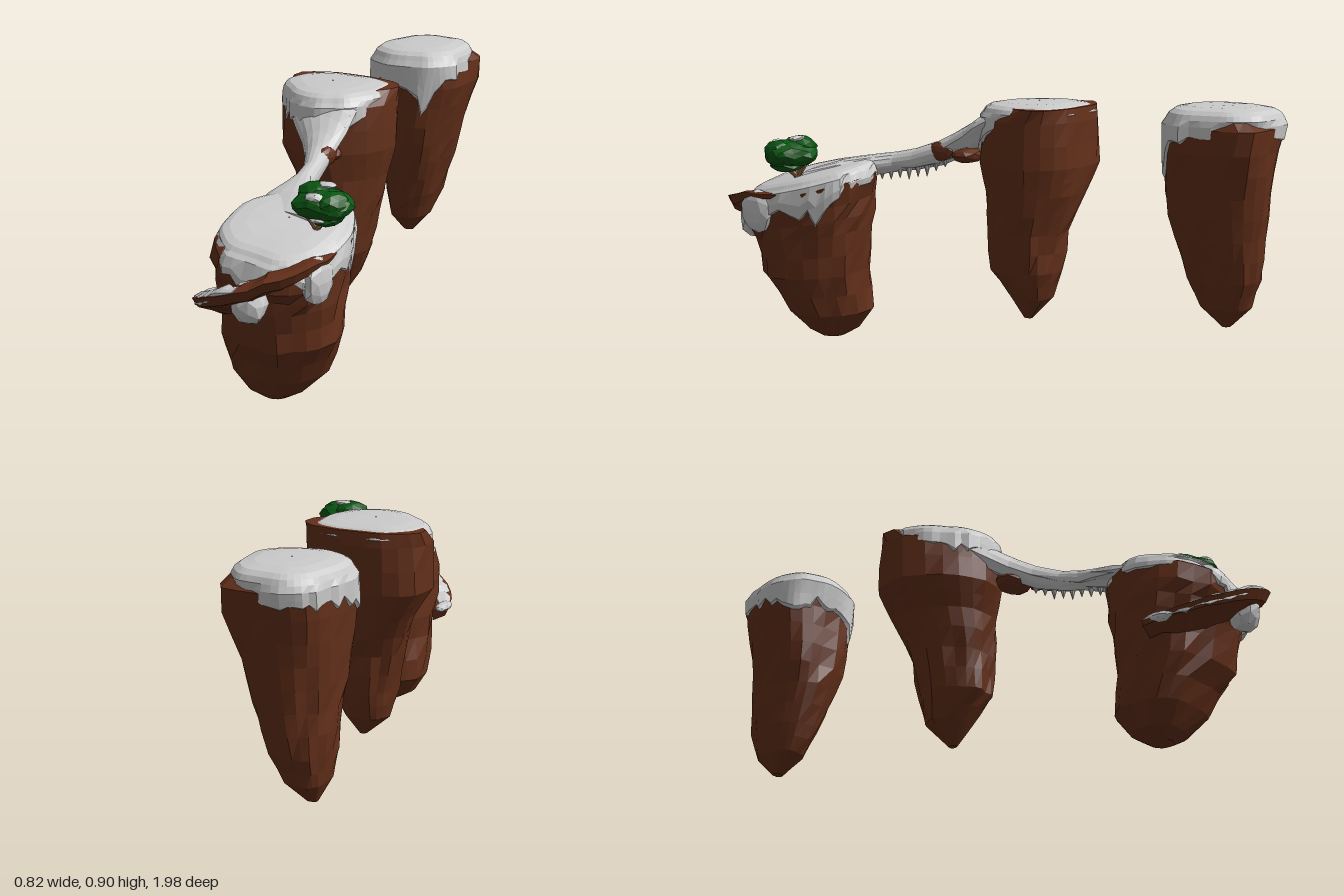
import * as THREE from 'three';

const mat = (color) => new THREE.MeshStandardMaterial({ color, flatShading: true, side: THREE.DoubleSide });
const ROCK = mat(0x64301a), SNOW = mat(0xcccccc), LEAF = mat(0x0a5612), BARK = mat(0xb07a56);
const TAU = Math.PI * 2;
const { lerp, clamp, degToRad } = THREE.MathUtils;
const hash = (n) => { const s = Math.sin(n * 127.1) * 43758.5453; return s - Math.floor(s); };
const bump = (a, y, s) =>
  (Math.sin(3 * a + 7 * y + s) + 0.7 * Math.sin(5 * a - 11 * y + 2 * s) + 0.5 * Math.sin(9 * a + 17 * y + 3 * s)) / 2.2;

// Skins rows of closed cross-sections
function loft(name, rows, material) {
  const n = rows[0].length, index = [];
  for (let i = 0; i < rows.length - 1; i++) {
    for (let j = 0; j < n; j++) {
      const p = i * n + j, q = i * n + (j + 1) % n;
      index.push(p, p + n, q, q, p + n, q + n);
    }
  }
  const g = new THREE.BufferGeometry();
  g.setAttribute('position', new THREE.Float32BufferAttribute(rows.flat(2), 3));
  g.setIndex(index);
  g.computeVertexNormals();
  const m = new THREE.Mesh(g, material);
  m.name = name;
  return m;
}
const collapse = (row) => {
  const c = [0, 1, 2].map((k) => row.reduce((s, p) => s + p[k], 0) / row.length);
  return row.map(() => c);
};
const capped = (rows) => [collapse(rows[0]), ...rows, collapse(rows.at(-1))];
const ring = (n, f) => Array.from({ length: n }, (_, j) => f(j / n * TAU, j));

// Rock rings are [y, x min, x max, z min, z max]; returns a surface point at height y and angle a
function surface(rock, y, a, scale = 1, lift = 0) {
  const R = rock.rings;
  let i = 0;
  while (i < R.length - 2 && y > R[i + 1][0]) i++;
  const t = clamp((y - R[i][0]) / (R[i + 1][0] - R[i][0]), 0, 1);
  const [x0, x1, z0, z1] = [1, 2, 3, 4].map((k) => lerp(R[i][k], R[i + 1][k], t));
  const sq = (v) => Math.sign(v) * Math.abs(v) ** 0.8;
  const k = scale * (1 + 0.06 * bump(a, y, rock.seed));
  const nz = sq(Math.sin(a)) * k, rx = (x1 - x0) / 2;
  const [front, back] = rock.taper ?? [0, 0], narrow = front * Math.max(nz, 0) + back * Math.max(-nz, 0);
  const nx = sq(Math.cos(a)) * k * (1 - narrow) + front * 0.5 * Math.max(nz, 0);
  const x = (x0 + x1) / 2 + rx * nx, z = (z0 + z1) / 2 + (z1 - z0) / 2 * nz;
  const [gx, gz, cx, cz] = rock.tilt ?? [0, 0, 0, 0];
  const w = (y / 0.6) ** 2;
  return [x, Math.max(0, y + lift + w * (gx * (x - cx) + gz * (z - cz))), z];
}

// Faceted rock; corners are [degrees, amount, lowest y] bare spurs that break through the snow
function rockMesh(name, rock) {
  const n = 22, rows = [];
  const row = (y) => ring(n, (a, j) => {
    let s = 1 + (y < 0.55 ? 0.09 * (hash(j + y * 31 + rock.seed) - 0.5) : 0);
    for (const [deg, amount, low] of rock.corners ?? []) {
      const d = Math.abs(Math.atan2(Math.sin(a - degToRad(deg)), Math.cos(a - degToRad(deg))));
      s += amount * Math.exp(-((d / 0.3) ** 2)) * clamp((y - low) / 0.2, 0, 1);
    }
    return surface(rock, y, a, s);
  });
  rock.rings.forEach(([y], i) => {
    rows.push(row(y));
    const next = rock.rings[i + 1];
    if (next && next[0] - y > 0.09) rows.push(row((y + next[0]) / 2));
  });
  return loft(name, capped(rows), ROCK);
}

// Snow hangs by a given amount every 30 degrees and ends in a ragged rim
function snowCap(name, rock, rim, dome, drops) {
  const n = 48;
  const drop = (a, j) => {
    const f = a / TAU * 12, i = Math.floor(f);
    return lerp(drops[i % 12], drops[(i + 1) % 12], f - i) * (0.65 + 0.7 * hash(j + rock.seed));
  };
  const rows = [0, 0.1, 0.5, 1].map((t) => ring(n, (a, j) => {
    const d = drop(a, j), out = 0.93 + 0.12 * Math.min(d / 0.05, 1);
    return surface(rock, lerp(rim - d, rim, t), a, t === 0 ? out - 0.05 : out, t * 0.01);
  }));
  for (const [s, h] of [[0.98, 0.42], [0.93, 0.66], [0.83, 0.84], [0.6, 0.96], [0.3, 1], [0.01, 1]]) {
    rows.push(ring(n, (a) => surface(rock, rim, a, s, h * dome)));
  }
  return loft(name, rows, SNOW);
}

function lump(name, material, [x, y, z], [sx, sy, sz], detail = 1, seed = 1) {
  const g = new THREE.IcosahedronGeometry(1, detail), p = g.attributes.position;
  for (let i = 0; i < p.count; i++) {
    const a = Math.atan2(p.getZ(i), p.getX(i)), flat = Math.hypot(p.getX(i), p.getZ(i));
    const k = 1 + 0.12 * flat * bump(a, p.getY(i) * 0.3, seed);
    p.setXYZ(i, p.getX(i) * k * sx, p.getY(i) * k * sy, p.getZ(i) * k * sz);
  }
  g.computeVertexNormals();
  const m = new THREE.Mesh(g, material);
  m.name = name;
  m.position.set(x, y, z);
  return m;
}

function limb(name, from, to, r0, r1, material = BARK) {
  const a = new THREE.Vector3(...from), d = new THREE.Vector3(...to).sub(a);
  const m = new THREE.Mesh(new THREE.CylinderGeometry(r1, r0, d.length(), 7), material);
  m.name = name;
  m.position.copy(a).addScaledVector(d, 0.5);
  m.quaternion.setFromUnitVectors(new THREE.Vector3(0, 1, 0), d.normalize());
  return m;
}

const backRock = { seed: 1.3, corners: [[-42, 0.2, 0.55]], rings: [
  [0.13, -0.31, -0.27, -0.80, -0.77], [0.2, -0.345, -0.21, -0.87, -0.7], [0.3, -0.36, -0.17, -0.91, -0.66],
  [0.45, -0.37, -0.12, -0.93, -0.62], [0.6, -0.385, -0.08, -0.945, -0.6], [0.75, -0.4, -0.045, -0.965, -0.6],
  [0.83, -0.4, -0.05, -0.98, -0.59], [0.865, -0.36, -0.08, -0.93, -0.64]] };
const middleRock = { seed: 4.1, taper: [0.3, 0], corners: [[-15, 0.1, 0.55], [205, 0.05, 0.5]], rings: [
  [0.105, -0.14, -0.115, -0.1, -0.07], [0.18, -0.225, -0.065, -0.16, -0.02], [0.28, -0.25, -0.02, -0.19, 0.05],
  [0.42, -0.28, 0, -0.21, 0.06], [0.56, -0.33, 0.02, -0.26, 0.07], [0.66, -0.39, 0.035, -0.285, 0.1],
  [0.82, -0.385, 0.035, -0.285, 0.09], [0.868, -0.375, 0.03, -0.275, -0.02]] };
const frontRock = { seed: 2.2, taper: [0, 0.2], tilt: [-0.17, -0.22, 0.16, 0.65], rings: [
  [0, 0.06, 0.14, 0.58, 0.66], [0.03, 0, 0.2, 0.53, 0.7], [0.1, -0.045, 0.27, 0.475, 0.745],
  [0.25, -0.045, 0.345, 0.46, 0.82], [0.4, -0.045, 0.36, 0.44, 0.85], [0.5, -0.045, 0.37, 0.42, 0.88],
  [0.57, -0.03, 0.375, 0.4, 0.88], [0.6, 0, 0.34, 0.43, 0.84]] };

// Crescent ledge curling round the front rock
const ledgePath = new THREE.CatmullRomCurve3([
  [-0.1, 0.345, 0.7], [-0.06, 0.37, 0.84], [0.03, 0.415, 0.94], [0.15, 0.465, 0.99],
  [0.27, 0.505, 0.965], [0.36, 0.535, 0.87], [0.39, 0.55, 0.76], [0.37, 0.55, 0.66]].map((p) => new THREE.Vector3(...p)));
function ledgeStrip(name, u0, u1, material, section) {
  const rows = [];
  for (let i = 0; i <= 18; i++) {
    const u = lerp(u0, u1, i / 18), p = ledgePath.getPoint(u);
    const thin = Math.sin(Math.PI * clamp(i / 18, 0.06, 0.94)) ** 0.5, j = (hash(i + u0) - 0.5) * 0.015;
    rows.push(section.map(([inward, dy]) => [
      lerp(p.x, 0.16, inward * thin), p.y + (dy + j) * thin, lerp(p.z, 0.66, inward * thin)]));
  }
  return loft(name, capped(rows), material);
}

// Snow bridge sections: [z, centre x, half width, top y, bottom y]
const bridgeSections = [
  [-0.06, -0.15, 0.12, 0.875, 0.82], [0, -0.14, 0.14, 0.868, 0.78], [0.06, -0.115, 0.13, 0.838, 0.745],
  [0.1, -0.09, 0.11, 0.808, 0.71], [0.16, -0.05, 0.075, 0.768, 0.68], [0.22, -0.02, 0.05, 0.735, 0.65],
  [0.3, 0.015, 0.035, 0.705, 0.63], [0.37, 0.035, 0.038, 0.69, 0.62], [0.43, 0.06, 0.065, 0.682, 0.61],
  [0.52, 0.1, 0.11, 0.668, 0.6], [0.62, 0.14, 0.13, 0.635, 0.59]];

export function createModel() {
  const model = new THREE.Group();
  model.name = 'floatingRocks';
  model.add(
    rockMesh('backRock', backRock), rockMesh('middleRock', middleRock), rockMesh('frontRock', frontRock),
    snowCap('backSnow', backRock, 0.83, 0.072, [0.03, 0.05, 0.15, 0.07, 0.07, 0.09, 0.05, 0.04, 0.05, 0.03, 0.01, 0.01]),
    snowCap('middleSnow', middleRock, 0.82, 0.062, [0, 0.04, 0.1, 0.06, 0.05, 0.05, 0.02, 0, 0, 0, 0, 0]),
    snowCap('frontSnow', frontRock, 0.58, 0.045, [0.07, 0.06, 0.04, 0.09, 0.01, 0.02, 0.04, 0.02, 0.03, 0.03, 0.03, 0.12]));

  // Bridge, its bare stone patches and icicles
  model.add(loft('snowBridge', capped(bridgeSections.map(([z, cx, hw, top, bot], i) => ring(16, (a, j) => {
    const s = Math.sin(a), ragged = s > 0 ? (hash(i * 16 + j) - 0.5) * 0.02 : 0;
    return [cx + hw * Math.cos(a), (top + bot) / 2 - s * (top - bot) / 2 + ragged, z];
  }))), SNOW));
  model.add(
    lump('bridgeStone', ROCK, [0.01, 0.7, 0.2], [0.022, 0.035, 0.05]),
    lump('bridgeStone', ROCK, [-0.06, 0.685, 0.13], [0.07, 0.03, 0.06], 1, 3));
  for (let i = 0; i < 8; i++) {
    const t = i / 7, x = lerp(-0.02, 0.06, t), y = lerp(0.67, 0.63, t), z = lerp(0.2, 0.42, t);
    model.add(limb('icicle', [x, y, z], [x, y - 0.03 - 0.03 * hash(i), z], 0.016, 0.001, SNOW));
  }

  // Ledge with the snow lying behind its lip and drifts hanging below
  model.add(
    ledgeStrip('ledge', 0, 1, ROCK, [[0.5, -0.09], [0.06, -0.035], [0, 0], [0.12, 0.008], [0.5, 0.01]]),
    ledgeStrip('ledgeSnow', 0.02, 0.5, SNOW, [[0.32, -0.03], [0.03, -0.02], [0.03, 0.004], [0.12, 0.018], [0.32, 0.02]]),
    lump('ledgeTipSnow', SNOW, [-0.07, 0.35, 0.74], [0.025, 0.018, 0.06], 1, 3),
    lump('ledgeDrift', SNOW, [0.205, 0.425, 0.895], [0.06, 0.07, 0.055], 1, 2),
    lump('ledgeDrift', SNOW, [0.36, 0.485, 0.75], [0.035, 0.08, 0.07], 1, 5));

  // Tree
  const tree = new THREE.Group();
  tree.name = 'tree';
  const fork = [0.275, 0.61, 0.635];
  tree.add(limb('trunk', [0.28, 0.51, 0.64], fork, 0.019, 0.013));
  for (const tip of [[0.245, 0.65, 0.62], [0.33, 0.65, 0.65], [0.29, 0.665, 0.59], [0.275, 0.665, 0.69]]) {
    tree.add(limb('branch', fork, tip, 0.011, 0.006));
  }
  for (const tip of [[0.24, 0.555, 0.67], [0.32, 0.54, 0.62], [0.28, 0.54, 0.69]]) {
    tree.add(limb('root', [0.28, 0.585, 0.638], tip, 0.011, 0.005));
  }
  tree.add(
    lump('foliage', LEAF, [0.305, 0.693, 0.64], [0.1, 0.05, 0.09], 2, 1.5),
    lump('foliage', LEAF, [0.275, 0.715, 0.625], [0.065, 0.042, 0.062], 1, 4),
    lump('foliage', LEAF, [0.35, 0.705, 0.655], [0.05, 0.04, 0.06], 1, 2),
    lump('foliage', LEAF, [0.32, 0.655, 0.645], [0.06, 0.027, 0.06], 1, 6),
    lump('foliageSnow', SNOW, [0.31, 0.723, 0.695], [0.035, 0.02, 0.022], 1, 2),
    lump('foliageSnow', SNOW, [0.3, 0.748, 0.615], [0.035, 0.01, 0.025], 1, 3),
    lump('foliageSnow', SNOW, [0.32, 0.655, 0.69], [0.03, 0.008, 0.022], 1, 5));
  model.add(tree);
  return model;
}
